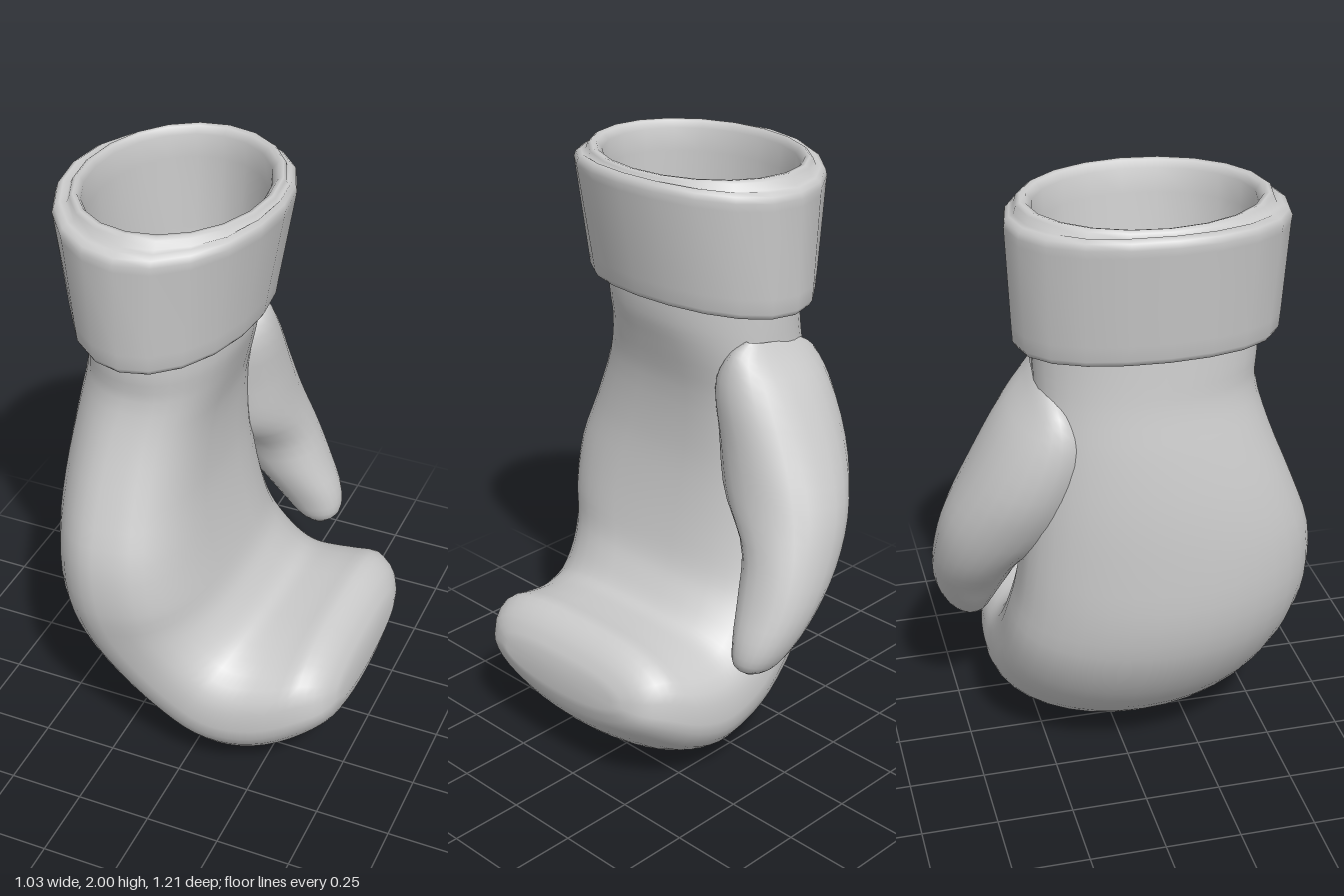
import * as THREE from 'three';

const material = new THREE.MeshStandardMaterial({ color: 0xcccccc, side: THREE.DoubleSide });

// One closed cross-section spanning outer -> inner in the xy plane and zMin..zMax in depth:
// an ellipse on the outer half, a squarer superellipse on the inner half
function ring([ox, oy, ix, iy, zMin, zMax, squareness = 2], segments) {
  const points = [];
  for (let j = 0; j < segments; j++) {
    const a = (j / segments) * Math.PI * 2;
    const n = Math.cos(a) > 0 ? squareness : 2;
    const c = Math.sign(Math.cos(a)) * Math.abs(Math.cos(a)) ** (2 / n);
    const s = Math.sign(Math.sin(a)) * Math.abs(Math.sin(a)) ** (2 / n);
    const t = (c + 1) / 2;
    points.push(new THREE.Vector3(ox + (ix - ox) * t, oy + (iy - oy) * t, (zMin + zMax) / 2 + (s * (zMax - zMin)) / 2));
  }
  return points;
}

// Resample rings along smooth curves through matching points
function smoothRings(rings, steps) {
  const curves = rings[0].map((_, j) => new THREE.CatmullRomCurve3(rings.map((r) => r[j])));
  return Array.from({ length: steps + 1 }, (_, i) => curves.map((c) => c.getPoint(i / steps)));
}

// Skin a list of rings, with an optional closing fan on the last one
function skin(name, rings, capped) {
  const n = rings[0].length;
  const points = rings.flat();
  const index = [];
  for (let i = 0; i < rings.length - 1; i++) {
    for (let j = 0; j < n; j++) {
      const a = i * n + j, b = i * n + ((j + 1) % n);
      index.push(a, b, a + n, b, b + n, a + n);
    }
  }
  if (capped) {
    const last = (rings.length - 1) * n;
    const centre = new THREE.Vector3();
    rings[rings.length - 1].forEach((p) => centre.addScaledVector(p, 1 / n));
    points.push(centre);
    for (let j = 0; j < n; j++) index.push(last + j, last + ((j + 1) % n), points.length - 1);
  }
  const geometry = new THREE.BufferGeometry().setFromPoints(points);
  geometry.setIndex(index);
  geometry.computeVertexNormals();
  const mesh = new THREE.Mesh(geometry, material);
  mesh.name = name;
  return mesh;
}

export function createModel() {
  const group = new THREE.Group();
  group.name = 'paddedGlove';

  // Hand: wrist, palm and curled finger pad (outer x, y, inner x, y, zMin, zMax, inner squareness)
  const hand = [
    [-0.42, 1.62, 0.065, 1.62, -0.29, 0.42, 2],
    [-0.43, 1.5, 0.06, 1.5, -0.29, 0.42, 2.1],
    [-0.44, 1.4, 0.035, 1.4, -0.29, 0.41, 2.4],
    [-0.465, 1.25, 0, 1.25, -0.3, 0.45, 2.7],
    [-0.49, 1.05, -0.005, 1.05, -0.32, 0.53, 2.9],
    [-0.5, 0.85, 0.015, 0.89, -0.34, 0.595, 2.9],
    [-0.495, 0.65, 0.05, 0.73, -0.36, 0.605, 2.8],
    [-0.45, 0.47, 0.08, 0.64, -0.385, 0.58, 2.6],
    [-0.325, 0.27, 0.12, 0.58, -0.4, 0.55, 2.5],
    [-0.15, 0.105, 0.165, 0.53, -0.41, 0.53, 2.5],
    [-0.01, 0.03, 0.2, 0.515, -0.41, 0.525, 2.6],
    [0.13, 0.003, 0.25, 0.515, -0.41, 0.51, 2.7],
    [0.28, 0.05, 0.32, 0.522, -0.4, 0.495, 2.8],
    [0.41, 0.14, 0.395, 0.53, -0.37, 0.465, 3],
    [0.488, 0.23, 0.46, 0.487, -0.31, 0.41, 3],
    [0.512, 0.31, 0.502, 0.42, -0.2, 0.31, 2.6],
  ].map((s) => ring(s, 36));
  group.add(skin('hand', smoothRings(hand, 45), true));

  // Thumb: broad base blending out of the wrist, tapering tip (centre x, y, z, radius x, radius z)
  const thumb = [
    [-0.16, 1.45, -0.255, 0.11, 0.03],
    [-0.18, 1.4, -0.245, 0.18, 0.075],
    [-0.185, 1.3, -0.25, 0.215, 0.15],
    [-0.17, 1.12, -0.31, 0.215, 0.19],
    [-0.125, 0.95, -0.37, 0.19, 0.205],
    [-0.06, 0.8, -0.45, 0.16, 0.15],
    [0.02, 0.66, -0.472, 0.128, 0.128],
    [0.09, 0.54, -0.475, 0.105, 0.092],
    [0.125, 0.47, -0.465, 0.072, 0.06],
    [0.13, 0.437, -0.455, 0.025, 0.02],
  ].map(([x, y, z, rx, rz]) => ring([x - rx, y - rx * 0.15, x + rx, y + rx * 0.15, z - rz, z + rz, 2.2], 24));
  group.add(skin('thumb', smoothRings(thumb, 28), true));

  // Cuff: rounded pocket, inner wall, rolled lip, groove, flared band (y, xMin, xMax, zMin, zMax, saddle)
  const cuff = [
    [1.33, -0.18, -0.16, 0.06, 0.08, 0],
    [1.345, -0.27, -0.07, -0.06, 0.2, 0],
    [1.38, -0.35, -0.01, -0.15, 0.29, 0],
    [1.45, -0.4, 0.03, -0.23, 0.36, 0],
    [1.54, -0.415, 0.05, -0.265, 0.395, 0],
    [1.65, -0.42, 0.065, -0.275, 0.402, 0],
    [1.9, -0.43, 0.1, -0.275, 0.405, 0],
    [1.975, -0.44, 0.11, -0.278, 0.408, 0],
    [1.997, -0.45, 0.128, -0.295, 0.425, 0],
    [2, -0.46, 0.142, -0.312, 0.443, 0],
    [1.992, -0.47, 0.15, -0.325, 0.456, 0],
    [1.972, -0.478, 0.155, -0.333, 0.466, 0.005],
    [1.976, -0.495, 0.168, -0.346, 0.485, 0.015],
    [1.965, -0.512, 0.181, -0.36, 0.504, 0.016],
    [1.945, -0.518, 0.185, -0.364, 0.513, 0.016],
    [1.92, -0.514, 0.181, -0.363, 0.51, 0.016],
    [1.63, -0.477, 0.128, -0.351, 0.491, 0.016],
    [1.58, -0.47, 0.12, -0.348, 0.487, 0.016],
    [1.563, -0.462, 0.111, -0.338, 0.477, 0.016],
    [1.56, -0.44, 0.09, -0.315, 0.45, 0.016],
    [1.59, -0.42, 0.06, -0.29, 0.42, 0.01],
  ].map(([y, xMin, xMax, zMin, zMax, saddle]) => {
    const points = ring([xMin, y, xMax, y, zMin, zMax], 20);
    points.forEach((p, j) => { p.y += saddle * Math.cos((j / 20) * Math.PI * 4); });
    return points;
  });
  group.add(skin('cuff', cuff, false));

  return group;
}
